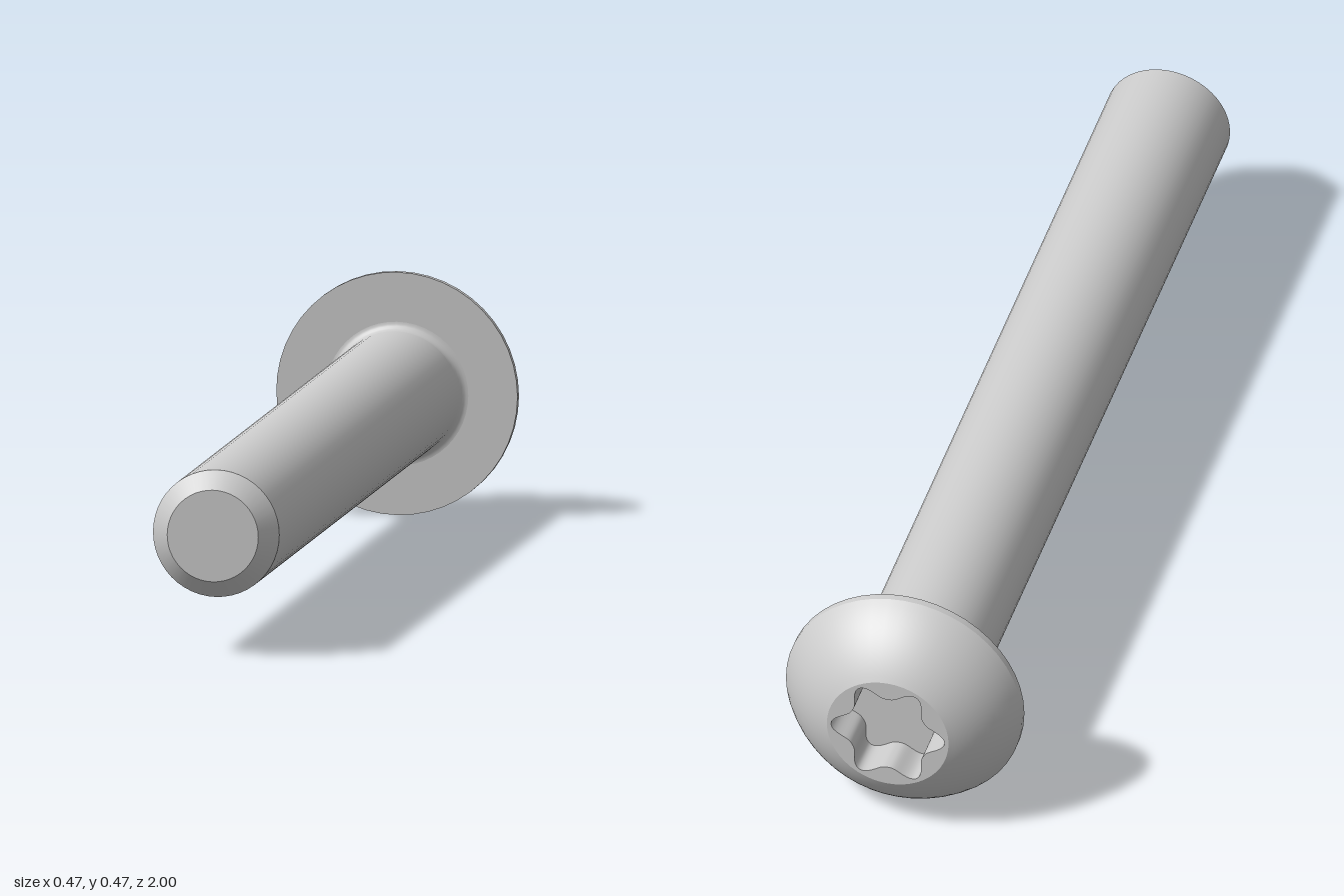
import * as THREE from 'three';
import { mergeVertices } from 'three/addons/utils/BufferGeometryUtils.js';

const SEG = 48;
const HEAD_R = 0.233, FLAT_R = 0.12, SHANK_R = 0.122, TIP_R = 0.088;
const BACK = -1, RIM = -0.885, SEAT = -0.87, FILLET = 0.016, CHAMFER = 0.965, TIP = 1;
const SOCKET_FLOOR = -0.92;

// Six-lobed socket outline, with narrow lobes and wide flutes
const starRadius = (a) => 0.081 + 0.031 * Math.pow((1 + Math.cos(6 * a)) / 2, 1.4);

function starPoints(n = 120) {
  return Array.from({ length: n }, (_, i) => {
    const a = (i / n) * Math.PI * 2, r = starRadius(a);
    return new THREE.Vector2(r * Math.cos(a), r * Math.sin(a));
  });
}

// Points on an arc, as (radius, z)
function arc(cr, cz, rad, a0, a1, n) {
  return Array.from({ length: n + 1 }, (_, i) => {
    const a = a0 + ((a1 - a0) * i) / n;
    return [cr + rad * Math.cos(a), cz + rad * Math.sin(a)];
  });
}

export function createModel() {
  const model = new THREE.Group();
  model.name = 'screw';
  const material = new THREE.MeshStandardMaterial({ color: 0xcccccc });

  function add(name, geometry) {
    const mesh = new THREE.Mesh(geometry, material);
    mesh.name = name;
    model.add(mesh);
  }

  // Surface of revolution about z; separate sections keep the edges sharp
  function turned(name, profile) {
    const points = profile.map(([r, z]) => new THREE.Vector2(r, z));
    add(name, new THREE.LatheGeometry(points, SEG).rotateX(Math.PI / 2));
  }

  // Domed head: a sphere through the flat's edge and the rim
  const rise = RIM - BACK;
  const u = (HEAD_R ** 2 - FLAT_R ** 2 + rise ** 2) / (2 * rise);
  const centre = BACK + u;
  turned('headDome', arc(0, centre, Math.hypot(FLAT_R, u),
    Math.atan2(-u, FLAT_R), Math.atan2(RIM - centre, HEAD_R), 14));
  turned('headRim', [[HEAD_R, RIM], [HEAD_R, SEAT]]);
  turned('headUnderside', [[HEAD_R, SEAT], [SHANK_R + FILLET, SEAT]]);

  // Shank with a fillet under the head and a chamfered tip
  turned('neckFillet', arc(SHANK_R + FILLET, SEAT + FILLET, FILLET, -Math.PI / 2, -Math.PI, 6));
  turned('shank', [[SHANK_R, SEAT + FILLET], [SHANK_R, CHAMFER]]);
  turned('tipChamfer', [[SHANK_R, CHAMFER], [TIP_R, TIP]]);
  turned('tipFace', [[TIP_R, TIP], [0, TIP]]);

  // Flat of the head, pierced by the socket
  const flat = new THREE.Shape().absarc(0, 0, FLAT_R, 0, Math.PI * 2);
  flat.holes.push(new THREE.Path(starPoints()));
  add('headFlat', new THREE.ShapeGeometry(flat, SEG / 2).rotateY(Math.PI).translate(0, 0, BACK));

  // Socket wall: a strip wrapped round the star, facing inwards
  let wall = new THREE.PlaneGeometry(1, 1, 120, 1);
  const p = wall.attributes.position;
  for (let i = 0; i < p.count; i++) {
    const a = (p.getX(i) + 0.5) * Math.PI * 2, r = starRadius(a);
    p.setXYZ(i, r * Math.cos(a), r * Math.sin(a), p.getY(i) > 0 ? BACK : SOCKET_FLOOR);
  }
  wall.deleteAttribute('uv');
  wall.deleteAttribute('normal');
  wall = mergeVertices(wall, 1e-5);
  wall.computeVertexNormals();
  add('socketWall', wall);

  add('socketFloor', new THREE.ShapeGeometry(new THREE.Shape(starPoints()))
    .rotateY(Math.PI).translate(0, 0, SOCKET_FLOOR));

  model.position.y = HEAD_R;
  return model;
}
